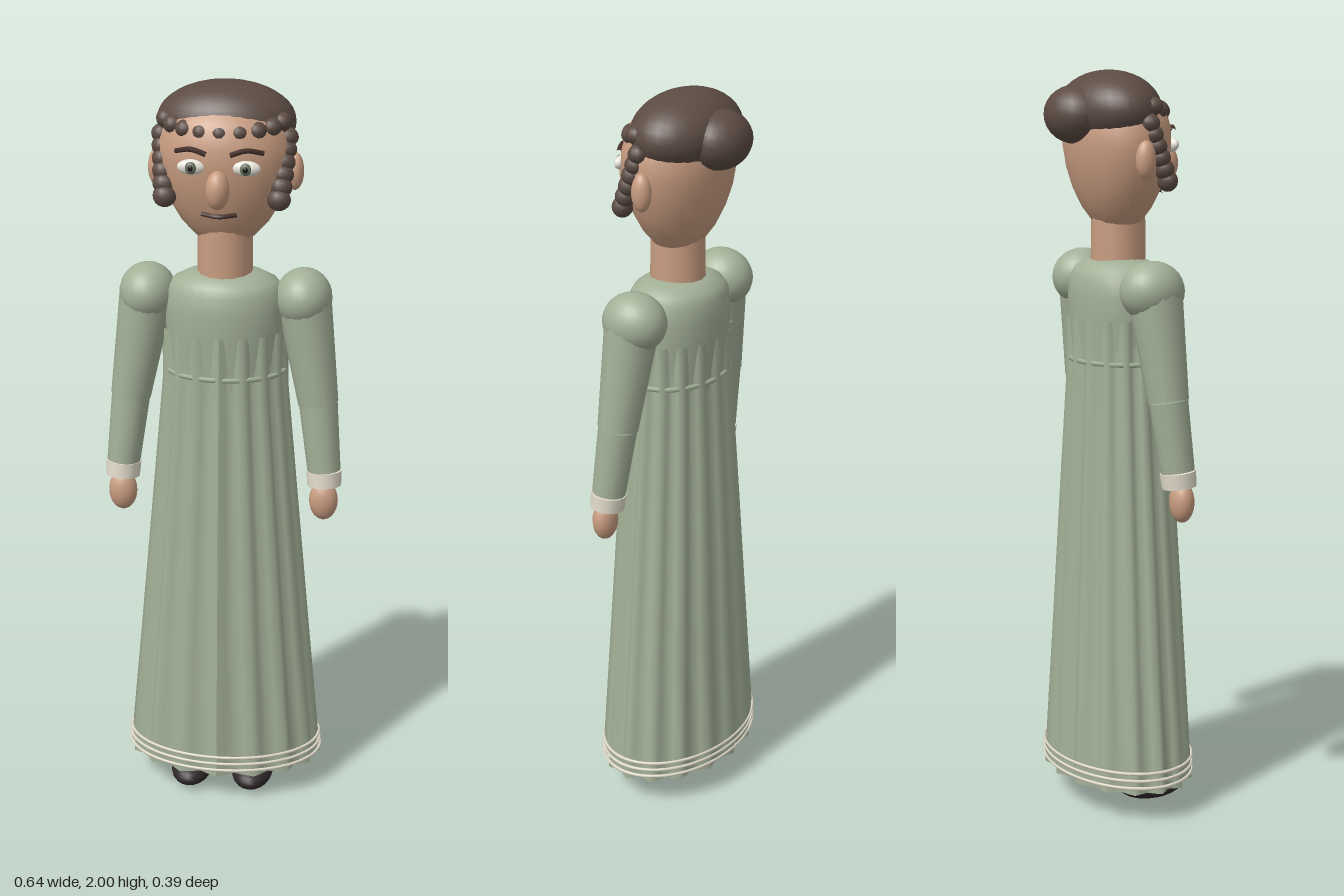
import * as THREE from 'three';

const mat = (name, color, side = THREE.FrontSide) => {
  const m = new THREE.MeshStandardMaterial({ color, side });
  m.name = name;
  return m;
};

export function createModel() {
  const root = new THREE.Group();
  root.name = 'womanInLongDress';

  const dress = mat('sage dress', 0xa3b097, THREE.DoubleSide);
  const trim = mat('cream trim', 0xe4decd);
  const skin = mat('skin', 0xc99d81);
  const hair = mat('brown hair', 0x5c4b43);
  const browMat = mat('dark brown', 0x45302a);
  const eyeMat = mat('eye white', 0xeeebe0);
  const irisMat = mat('grey green iris', 0x69755f);
  const pupilMat = mat('pupil black', 0x1c1a1a);
  const shoeMat = mat('black shoe', 0x30282a);

  const V = (x, y, z) => new THREE.Vector3(x, y, z);
  const add = (name, geo, material, parent = root) => {
    const m = new THREE.Mesh(geo, material);
    m.name = name;
    parent.add(m);
    return m;
  };
  const ball = (name, material, pos, radii, parent, ws = 20, hs = 14) => {
    const m = add(name, new THREE.SphereGeometry(1, ws, hs), material, parent);
    m.position.set(...pos);
    m.scale.set(...radii);
    return m;
  };
  // Round limb between two points
  const limb = (name, material, a, b, ra, rb, parent) => {
    const m = add(name, new THREE.CylinderGeometry(rb, ra, a.distanceTo(b), 14), material, parent);
    m.position.copy(a).add(b).multiplyScalar(0.5);
    m.quaternion.setFromUnitVectors(V(0, 1, 0), b.clone().sub(a).normalize());
    return m;
  };
  const lathe = (pts, zScale, seg = 28) =>
    new THREE.LatheGeometry(pts.map(([r, y]) => new THREE.Vector2(r, y)), seg).scale(1, 1, zScale);
  const ellipseRing = (name, material, y, rx, rz, tube) => {
    const geo = new THREE.TorusGeometry(1, tube / rx, 6, 64).rotateX(Math.PI / 2).scale(rx, rx, rz);
    add(name, geo, material).position.set(0, y, 0.007);
  };

  // Pleated skirt: rows of [y, half width, half depth, pleat depth], closed at the hem
  const rows = [
    [0.08, 0, 0, 0], [0.08, 0.274, 0.188, 0.024], [0.08, 0.274, 0.188, 0.024],
    [0.45, 0.239, 0.17, 0.022], [0.85, 0.202, 0.15, 0.02],
    [1.2, 0.17, 0.131, 0.017], [1.35, 0.17, 0.13, 0.016],
  ];
  const skirt = new THREE.LatheGeometry(rows.map(r => new THREE.Vector2(r[1], r[0])), 64);
  const sp = skirt.attributes.position;
  for (let i = 0; i < sp.count; i++) {
    const [y, rx, rz, depth] = rows[i % rows.length];
    const a = Math.floor(i / rows.length) / 64 * Math.PI * 2;
    const inset = depth * (1 - Math.cos(16 * a)) / 2;
    sp.setXYZ(i, Math.sin(a) * (rx - inset), y, Math.cos(a) * (rz - inset));
  }
  skirt.computeVertexNormals();
  add('pleatedSkirt', skirt, dress).position.z = 0.007;
  [0.1, 0.12, 0.14].forEach(y => ellipseRing('hemBand', trim, y, 0.273 - (y - 0.1) * 0.09, 0.187, 0.0045));
  ellipseRing('waistBand', dress, 1.235, 0.16, 0.122, 0.007);

  // Bodice
  add('bodice', lathe([[0.148, 1.2], [0.16, 1.35], [0.161, 1.41], [0.155, 1.455], [0.138, 1.48],
    [0.105, 1.497], [0.07, 1.505], [0, 1.505]], 0.78), dress).position.z = 0.007;

  // Neck and head
  limb('neck', skin, V(0, 1.47, 0.01), V(0, 1.64, 0.01), 0.074, 0.072);
  add('head', lathe([[0, 1.578], [0.04, 1.582], [0.08, 1.602], [0.115, 1.64], [0.145, 1.69],
    [0.166, 1.745], [0.177, 1.8], [0.176, 1.85], [0.155, 1.91], [0.1, 1.955], [0, 1.97]], 0.76, 32), skin)
    .position.z = 0.005;
  ball('nose', skin, [0, 1.752, 0.153], [0.031, 0.05, 0.034]);
  add('mouth', new THREE.TubeGeometry(new THREE.CatmullRomCurve3(
    [V(-0.045, 1.682, 0.122), V(0, 1.68, 0.14), V(0.045, 1.682, 0.122)]), 10, 0.006, 6), browMat);

  // Hair cap and bun
  ball('hairCap', hair, [0, 1.897, -0.017], [0.181, 0.103, 0.127], root, 32, 20);
  ball('bun', hair, [0, 1.885, -0.115], [0.096, 0.077, 0.082]);

  // Fringe of curls
  for (let i = 0; i < 9; i++) {
    const t = (i - 4) / 4 * 1.25;
    ball('fringeCurl', hair, [Math.sin(t) * 0.157, 1.888 + 0.02 * (i - 4) ** 2 / 16, 0.005 + Math.cos(t) * 0.1],
      [0.026, 0.024, 0.028], root, 14, 10);
  }

  for (const s of [-1, 1]) {
    const side = new THREE.Group();
    side.name = s > 0 ? 'leftSide' : 'rightSide';
    root.add(side);

    // Face
    ball('ear', skin, [s * 0.18, 1.772, 0], [0.024, 0.05, 0.027], side);
    ball('eyeWhite', eyeMat, [s * 0.07, 1.805, 0.13], [0.037, 0.02, 0.016], side);
    ball('iris', irisMat, [s * 0.07, 1.805, 0.142], [0.015, 0.016, 0.008], side);
    ball('pupil', pupilMat, [s * 0.07, 1.805, 0.148], [0.007, 0.008, 0.004], side);
    add('eyebrow', new THREE.TubeGeometry(new THREE.CatmullRomCurve3([V(s * 0.03, 1.84, 0.142),
      V(s * 0.07, 1.851, 0.134), V(s * 0.112, 1.842, 0.115)]), 10, 0.007, 6), browMat, side);

    // Side ringlets
    for (let i = 0; i < 6; i++) {
      const t = i / 5;
      ball('ringletCurl', hair, [s * (0.163 - 0.015 * t), 1.865 - 0.15 * t, 0.02 + 0.06 * t],
        [0.028 + 0.003 * t, 0.025 + 0.004 * t, 0.027], side, 14, 10);
    }

    // Arm: puffed sleeve, long sleeve, cuff and hand
    const shoulder = V(s * 0.212, 1.42, 0.012), elbow = V(s * 0.254, 1.15, 0.03);
    const wrist = V(s * 0.274, 0.965, 0.048), cuffEnd = V(s * 0.276, 0.924, 0.052);
    ball('puffSleeve', dress, [s * 0.208, 1.435, 0.005], [0.076, 0.079, 0.088], side, 24, 16);
    limb('upperSleeve', dress, elbow, shoulder, 0.054, 0.072, side);
    limb('lowerSleeve', dress, wrist, elbow, 0.045, 0.052, side);
    limb('cuff', trim, cuffEnd, wrist, 0.046, 0.048, side);
    ball('hand', skin, [s * 0.275, 0.883, 0.06], [0.039, 0.056, 0.032], side);

    // Shoe
    ball('shoe', shoeMat, [s * 0.087, 0.038, 0.07], [0.058, 0.038, 0.095], side);
  }
  return root;
}
